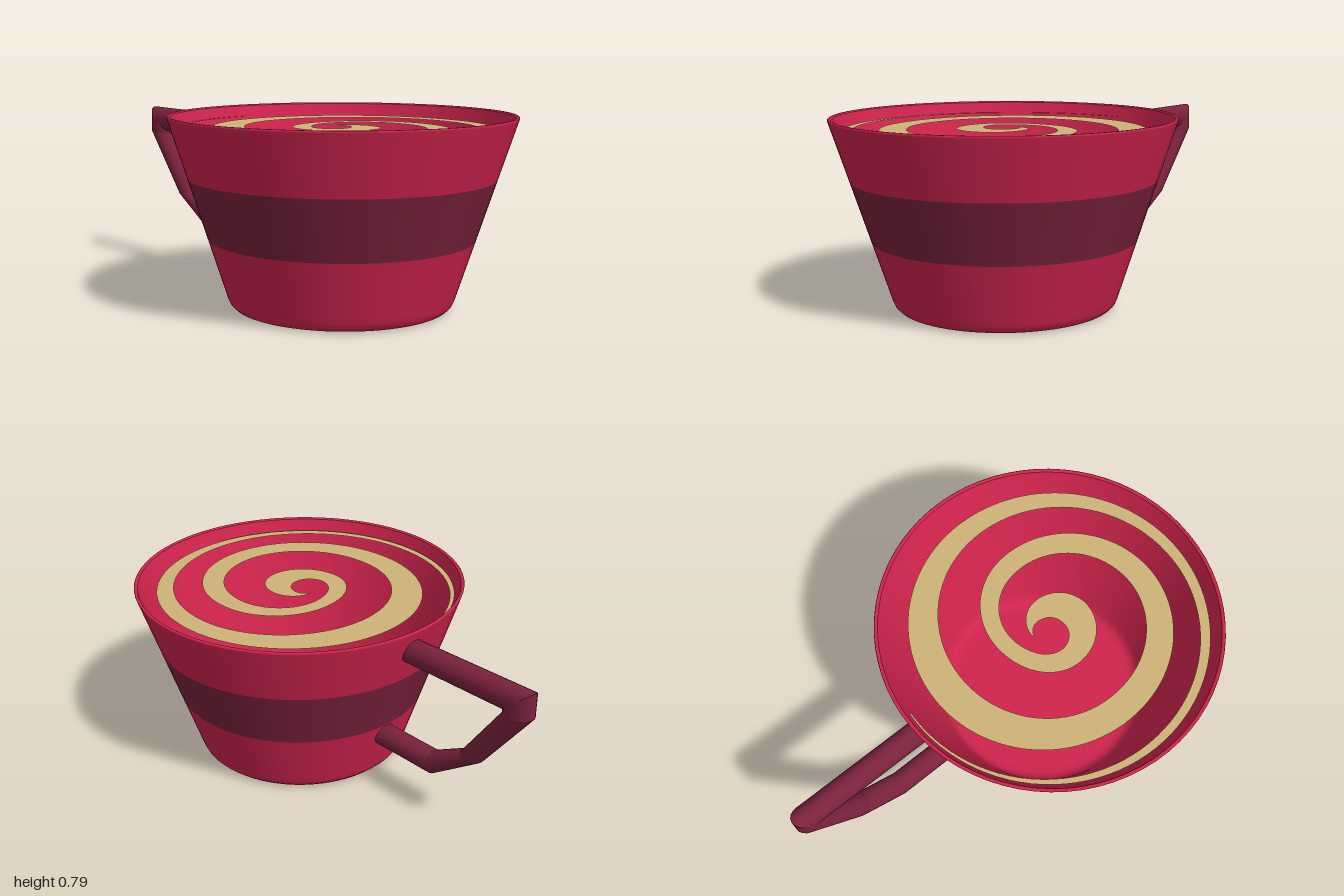
import * as THREE from 'three';
import { mergeGeometries } from 'three/addons/utils/BufferGeometryUtils.js';

const mat = (name, color, side = THREE.FrontSide) => {
  const m = new THREE.MeshStandardMaterial({ color, side });
  m.name = name;
  return m;
};

const CUP_X = 0.285;
const V = (x, y) => new THREE.Vector2(x, y);

// Builds an indexed surface from rows of points; wrap closes each row into a ring
function loft(rows, wrap) {
  const n = rows[0].length, pos = rows.flat(2), idx = [];
  for (let i = 0; i < rows.length - 1; i++) {
    for (let j = 0; j < (wrap ? n : n - 1); j++) {
      const k = (j + 1) % n;
      const a = i * n + j, b = i * n + k, c = (i + 1) * n + k, d = (i + 1) * n + j;
      idx.push(a, d, c, a, c, b);
    }
  }
  const g = new THREE.BufferGeometry();
  g.setAttribute('position', new THREE.Float32BufferAttribute(pos, 3));
  g.setIndex(idx);
  g.computeVertexNormals();
  return g;
}

// Angular handle: each row gives the outer and inner edge of a mitred ring (x, y)
function handleGeometry() {
  const rings = [
    [-0.400, 0.744, -0.367, 0.636],
    [-1.000, 0.754, -0.870, 0.638],
    [-1.000, 0.640, -0.870, 0.630],
    [-0.778, 0.348, -0.687, 0.369],
    [-0.543, 0.182, -0.527, 0.283],
    [-0.220, 0.182, -0.253, 0.283],
  ].map(([ox, oy, ix, iy]) => {
    const ring = [];
    for (let j = 0; j < 20; j++) {
      const p = j / 20 * Math.PI * 2, c = Math.cos(p) / 2;
      const x = (ox + ix) / 2 + (ox - ix) * c;
      const y = (oy + iy) / 2 + (oy - iy) * c;
      ring.push([x, y, 0.113 - 0.09 * (x + 0.95) + 0.05 * Math.sin(p)]);
    }
    return ring;
  });
  // One strip per segment keeps the bends crisp
  const parts = [];
  for (let i = 0; i < rings.length - 1; i++) parts.push(loft([rings[i], rings[i + 1]], true));
  return mergeGeometries(parts);
}

// Flat spiral ribbon; one (inner, outer) radius pair per quarter turn
function swirlGeometry() {
  const radii = new THREE.SplineCurve([
    V(0.074, 0.080), V(0.04, 0.12), V(0.05, 0.185), V(0.11, 0.20), V(0.147, 0.222),
    V(0.27, 0.36), V(0.39, 0.495), V(0.39, 0.51), V(0.42, 0.56), V(0.51, 0.60),
    V(0.60, 0.65), V(0.63, 0.662), V(0.668, 0.675),
  ]);
  const rows = [], steps = 288;
  for (let i = 0; i <= steps; i++) {
    const t = i / steps, r = radii.getPoint(t);
    const a = (t * 12 - 1) * Math.PI / 2;
    rows.push([r.x, r.y].map((q) => [q * Math.sin(a), 0, -q * Math.cos(a)]));
  }
  return loft(rows, false);
}

export function createModel() {
  const red = mat('crimson', 0xd0244d);
  const maroon = mat('maroon', 0x7a223c);
  const cream = mat('cream', 0xceb378, THREE.DoubleSide);

  const model = new THREE.Group();
  model.name = 'cup';
  const add = (name, geometry, material, x = 0, y = 0) => {
    const m = new THREE.Mesh(geometry, material);
    m.name = name;
    m.position.set(x, y, 0);
    model.add(m);
  };
  const lathe = (name, material, pts) =>
    add(name, new THREE.LatheGeometry(pts.map((p) => V(...p)), 72), material, CUP_X);

  // Cup body, from the underside up over the rim and down inside
  lathe('underside', red, [[0, 0], [0.425, 0]]);
  lathe('lowerWall', red, [[0.425, 0], [0.447, 0.006], [0.462, 0.02], [0.471, 0.04], [0.48, 0.069], [0.551, 0.29]]);
  lathe('band', maroon, [[0.551, 0.29], [0.631, 0.54]]);
  lathe('upperWall', red, [[0.631, 0.54], [0.709, 0.782]]);
  lathe('rim', red, [[0.709, 0.782], [0.71, 0.787], [0.707, 0.79], [0.699, 0.79], [0.695, 0.785]]);
  lathe('inside', red, [[0.695, 0.785], [0.47, 0.09], [0.457, 0.055], [0.443, 0.036], [0.42, 0.026], [0.39, 0.025], [0, 0.025]]);

  // Ribbon near the rim, and the handle
  add('swirl', swirlGeometry(), cream, CUP_X, 0.74);
  add('handle', handleGeometry(), maroon);
  return model;
}
